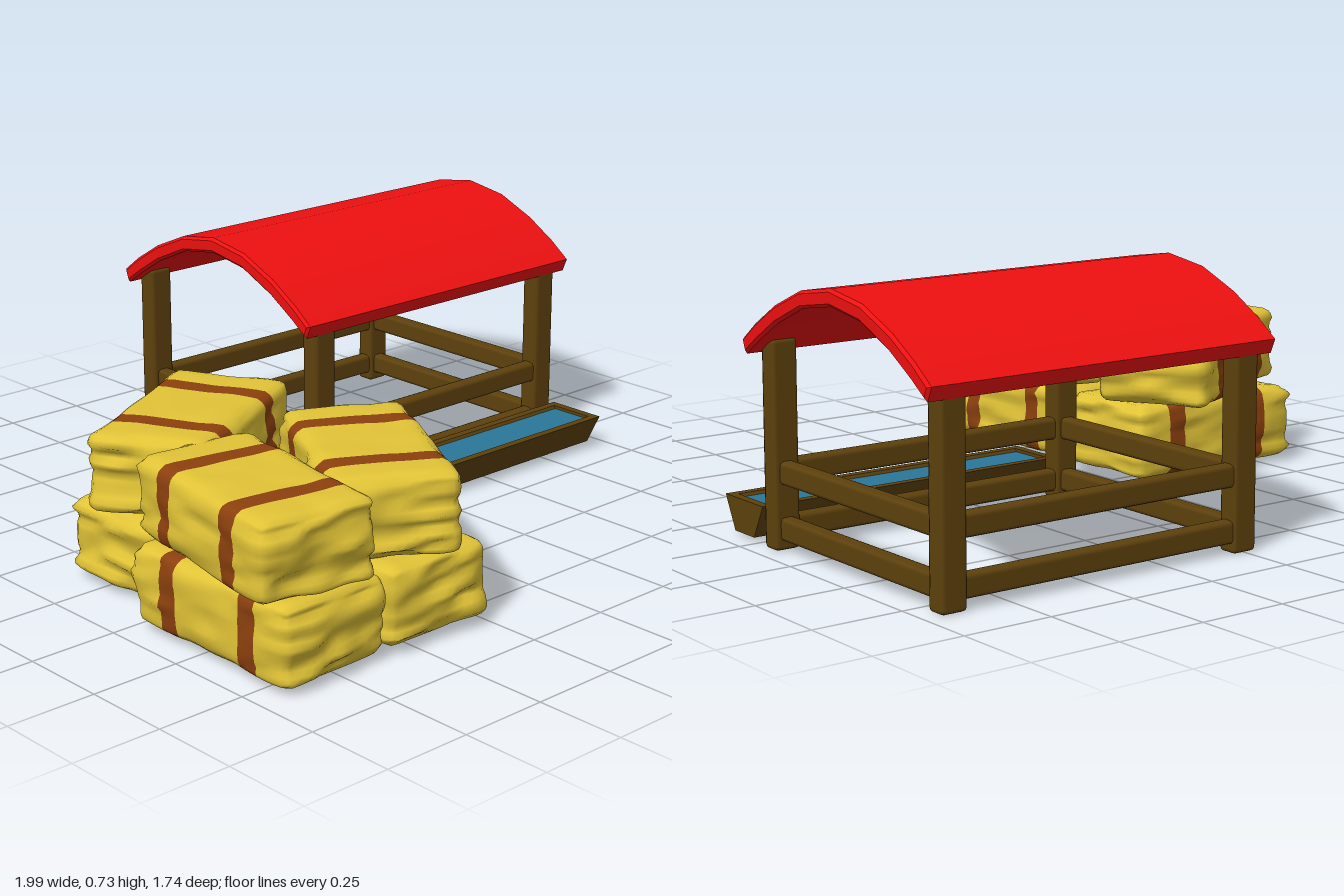
import * as THREE from 'three';
import { mergeVertices, toCreasedNormals } from 'three/addons/utils/BufferGeometryUtils.js';
import { RoundedBoxGeometry } from 'three/addons/geometries/RoundedBoxGeometry.js';

const material = (color) => new THREE.MeshStandardMaterial({ color });
const wood = material(0x5e410d);
const red = material(0xee1010);
const blue = material(0x2b7698);
const straw = material(0xe2c437);
const strap = material(0x8c400e);

function add(parent, name, geometry, mat, x = 0, y = 0, z = 0) {
  const mesh = new THREE.Mesh(geometry, mat);
  mesh.name = name;
  mesh.position.set(x, y, z);
  parent.add(mesh);
  return mesh;
}

// Extrudes a (z, y) outline along x, centred on x = 0
function extrudeAlongX(points, length, bevel = 0) {
  const shape = new THREE.Shape(points.map(([z, y]) => new THREE.Vector2(z, y)));
  const depth = length - 2 * bevel;
  const geometry = new THREE.ExtrudeGeometry(shape, {
    depth, bevelEnabled: bevel > 0, bevelSize: bevel, bevelThickness: bevel,
    bevelOffset: -bevel, bevelSegments: 1,
  });
  return geometry.translate(0, 0, -depth / 2).rotateY(-Math.PI / 2);
}

// Smooth repeatable lattice noise in -1..1
function hash(i, j, k, seed) {
  const s = Math.sin(i * 127.1 + j * 311.7 + k * 74.7 + seed * 53.3) * 43758.5453;
  return (s - Math.floor(s)) * 2 - 1;
}
function noise(x, y, z, seed) {
  const i = Math.floor(x), j = Math.floor(y), k = Math.floor(z);
  const ease = (t) => t * t * (3 - 2 * t);
  const u = ease(x - i), v = ease(y - j), w = ease(z - k);
  let sum = 0;
  for (let c = 0; c < 8; c++) {
    const a = c & 1, b = (c >> 1) & 1, d = c >> 2;
    sum += hash(i + a, j + b, k + d, seed) * (a ? u : 1 - u) * (b ? v : 1 - v) * (d ? w : 1 - w);
  }
  return sum;
}

// Lumpy bale: a rounded box with ragged ends and rippled sides, straps cut from the same skin
function makeBale(seed) {
  const half = new THREE.Vector3(0.295, 0.108, 0.17), r = 0.035;
  let geometry = new THREE.BoxGeometry(0.6, half.y * 2, half.z * 2, 20, 14, 14);
  geometry.deleteAttribute('uv');
  geometry.deleteAttribute('normal');
  geometry = mergeVertices(geometry);
  const pos = geometry.attributes.position;
  const index = geometry.index.array;

  // Sort the faces into strap and straw before the skin is pushed about
  const faces = { straw: [], strap: [] };
  for (let f = 0; f < index.length; f += 3) {
    const mid = (pos.getX(index[f]) + pos.getX(index[f + 1]) + pos.getX(index[f + 2])) / 3;
    const inStrap = Math.abs(Math.abs(mid) - 0.15) < 0.03;
    faces[inStrap ? 'strap' : 'straw'].push(index[f], index[f + 1], index[f + 2]);
  }

  const p = new THREE.Vector3(), n = new THREE.Vector3();
  const inner = half.clone().subScalar(r), outer = inner.clone().negate();
  for (let v = 0; v < pos.count; v++) {
    p.fromBufferAttribute(pos, v);
    n.copy(p);
    p.clamp(outer, inner);
    n.sub(p).normalize();
    const flat = noise(p.x * 14, p.y * 10, p.z * 14, seed);
    const layers = noise(p.x * 11, pos.getY(v) * 38, p.z * 11, seed + 5);
    const push = 0.004 * flat + 0.021 * layers * n.x * n.x + 0.012 * layers * n.z * n.z;
    p.addScaledVector(n, r + push);
    pos.setXYZ(v, p.x, p.y, p.z);
  }
  geometry.computeVertexNormals();

  const bale = new THREE.Group();
  for (const [name, mat] of [['straw', straw], ['strap', strap]]) {
    const part = geometry.clone();
    part.setIndex(faces[name]);
    add(bale, name, part, mat);
  }
  return bale;
}

function makeShelter() {
  const shelter = new THREE.Group();
  shelter.name = 'shelter';
  const cx = 0.46, cz = -0.45, px = 0.457, pz = 0.37;

  // Corner posts
  for (const sx of [-1, 1]) for (const sz of [-1, 1]) {
    add(shelter, 'post', new RoundedBoxGeometry(0.076, 0.555, 0.06, 1, 0.012), wood,
      cx + sx * px, 0.2825, cz + sz * pz);
  }

  // Two rails on every side
  for (const y of [0.062, 0.21]) for (const s of [-1, 1]) {
    add(shelter, 'longRail', new RoundedBoxGeometry(0.88, 0.062, 0.045, 1, 0.012), wood,
      cx, y, cz + s * pz);
    add(shelter, 'sideRail', new RoundedBoxGeometry(0.045, 0.062, 0.71, 1, 0.012), wood,
      cx + s * px, y, cz);
  }

  // Arched roof: half outlines mirrored about the ridge
  const top = [[0.418, 0.558], [0.355, 0.605], [0.26, 0.662], [0.137, 0.714], [0, 0.735]];
  const under = [[0.402, 0.52], [0.34, 0.562], [0.25, 0.617], [0.13, 0.67], [0, 0.69]];
  const arch = (half) => [...half, ...half.slice(0, -1).reverse().map(([z, y]) => [-z, y])];
  const outline = [...arch(top), ...arch(under).reverse()];
  const roof = toCreasedNormals(extrudeAlongX(outline, 1.08, 0.008), 0.5);
  add(shelter, 'roof', roof, red, cx, 0, cz);
  return shelter;
}

function makeTrough() {
  const trough = new THREE.Group();
  trough.name = 'trough';
  const section = [[-0.095, 0.107], [-0.048, 0.015], [0.048, 0.015], [0.095, 0.107]];
  const walls = [...section, [0.07, 0.107], [0.034, 0.037], [-0.034, 0.037], [-0.07, 0.107]];
  add(trough, 'walls', extrudeAlongX(walls, 0.92), wood);
  for (const s of [-1, 1]) add(trough, 'endBoard', extrudeAlongX(section, 0.025), wood, s * 0.4725);
  const water = [[-0.066, 0.098], [-0.035, 0.037], [0.035, 0.037], [0.066, 0.098]];
  add(trough, 'water', extrudeAlongX(water, 0.922), blue);
  trough.position.set(0.458, 0, 0.07);
  return trough;
}

export function createModel() {
  const model = new THREE.Group();
  model.add(makeShelter(), makeTrough());

  // Stacked bales: x, y, z, turn in degrees
  const stack = new THREE.Group();
  stack.name = 'baleStack';
  [
    [-0.77, 0.128, 0.545, 90],
    [-0.425, 0.128, 0.545, 90],
    [-0.55, 0.128, 0.05, 0],
    [-0.775, 0.346, 0.54, 81],
    [-0.39, 0.346, 0.54, 61],
    [-0.555, 0.346, 0.025, 28],
  ].forEach(([x, y, z, turn], i) => {
    const bale = makeBale(i + 1);
    bale.name = 'bale';
    bale.position.set(x, y, z);
    bale.rotation.y = THREE.MathUtils.degToRad(turn);
    stack.add(bale);
  });
  model.add(stack);
  return model;
}
